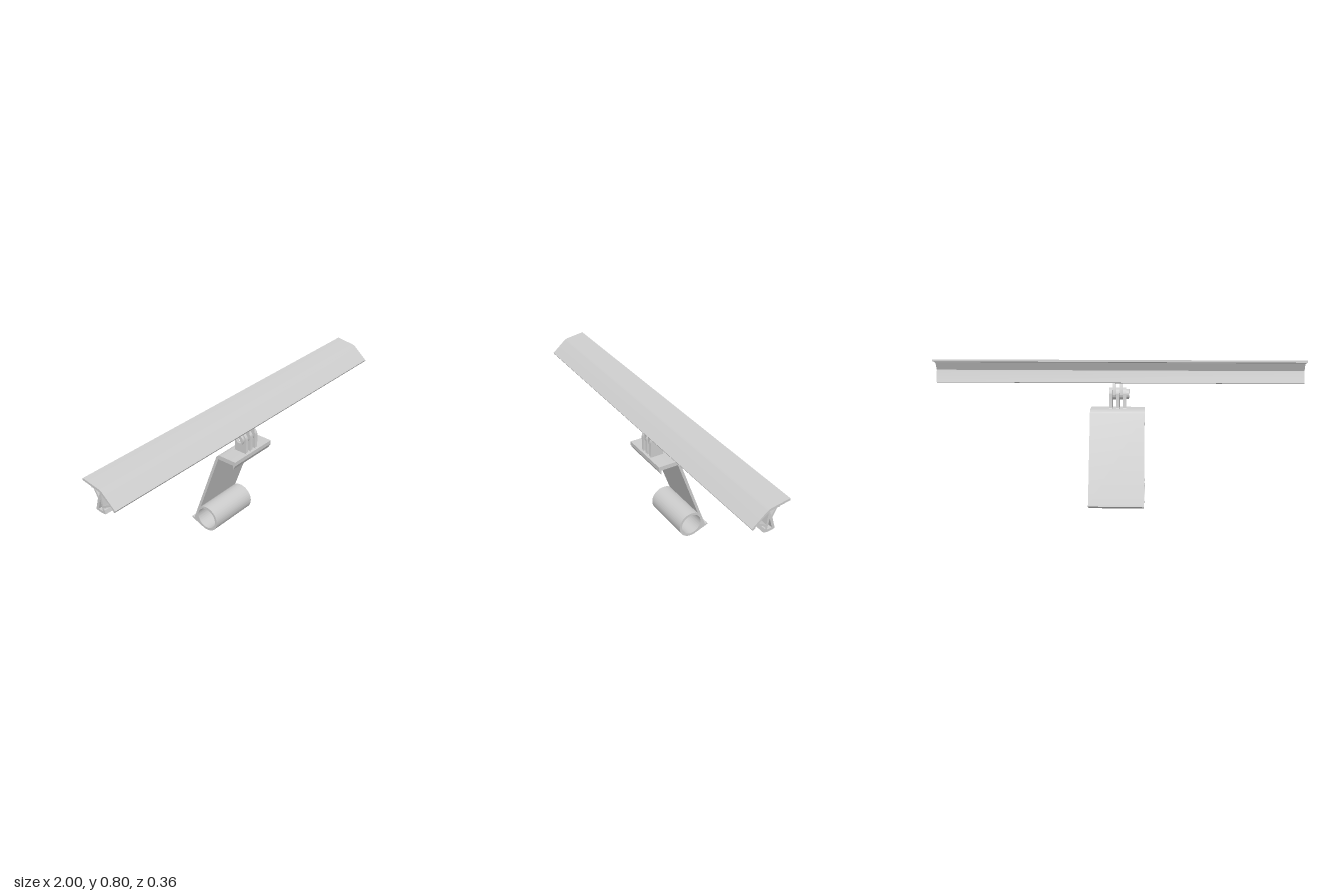
import * as THREE from 'three';
import { toCreasedNormals } from 'three/addons/utils/BufferGeometryUtils.js';

const material = new THREE.MeshStandardMaterial({ color: 0xcccccc });
const MID = 0.006; // x centre of the clip and hinge
const PIN = [0.086, 0.602]; // hinge axis (z, y)
const PIN_R = 0.0137;

const path = (pts) => new THREE.Path(pts.map(([z, y]) => new THREE.Vector2(z, y)));
const circle = (z, y, r) => new THREE.Path().absarc(z, y, r, 0, Math.PI * 2, true);

// Extrudes a (z, y) side profile along x, from x0 to x1
function extrudeX(name, shape, x0, x1) {
  const geo = new THREE.ExtrudeGeometry(shape, { depth: x1 - x0, bevelEnabled: false, curveSegments: 32 });
  geo.rotateY(-Math.PI / 2);
  geo.translate(x1, 0, 0);
  const mesh = new THREE.Mesh(toCreasedNormals(geo, 0.5), material);
  mesh.name = name;
  return mesh;
}

// Long roof-shaped rail with triangular bracing
function railShape() {
  const s = new THREE.Shape();
  s.moveTo(0.181, 0.709);
  s.lineTo(0.106, 0.772);
  s.quadraticCurveTo(0.096, 0.780, 0.082, 0.783);
  [
    [-0.016, 0.798], [-0.017, 0.787], [0.038, 0.778], [0.04, 0.774], [0.051, 0.776], // rear wing
    [0.074, 0.733], [0.071, 0.72], [0.056, 0.668], // rear leg
  ].forEach((p) => s.lineTo(...p));
  s.quadraticCurveTo(0.086, 0.657, 0.117, 0.665);
  [
    [0.111, 0.683], [0.106, 0.684], [0.103, 0.692], // front leg
    [0.154, 0.721], [0.163, 0.713], [0.162, 0.708], [0.174, 0.698], // front brace and lip
  ].forEach((p) => s.lineTo(...p));
  s.closePath();
  s.holes.push(
    path([[0.096, 0.763], [0.147, 0.727], [0.104, 0.703]]),
    path([[0.088, 0.73], [0.099, 0.675], [0.072, 0.675]]),
    path([[0.09, 0.769], [0.061, 0.774], [0.082, 0.743]]),
  );
  return s;
}

// Hooked plate, slanted arm and ring in one profile
function clipShape() {
  const [rz, ry] = [-0.071, 0.076];
  const rad = THREE.MathUtils.degToRad;
  const s = new THREE.Shape();
  s.moveTo(0.135, 0.525);
  s.lineTo(0.034, 0.525);
  s.quadraticCurveTo(0.012, 0.524, 0.004, 0.503);
  s.lineTo(-0.164, 0.041);
  s.lineTo(-0.178, 0.046);
  s.lineTo(-0.181, 0.037);
  s.absarc(rz, ry, 0.075, rad(-111), rad(124), false);
  s.lineTo(0.02, 0.501);
  s.lineTo(0.121, 0.501);
  s.lineTo(0.121, 0.478);
  s.lineTo(0.135, 0.503);
  s.closePath();
  s.holes.push(circle(rz, ry, 0.061));
  return s;
}

// Upright hinge prong with filleted foot
function lowerProngShape() {
  const [z, y] = PIN, r = 0.0365;
  const s = new THREE.Shape();
  s.moveTo(z + r + 0.009, 0.524);
  s.lineTo(z - r - 0.009, 0.524);
  s.quadraticCurveTo(z - r, 0.525, z - r, 0.535);
  s.absarc(z, y, r, Math.PI, 0, true);
  s.lineTo(z + r, 0.535);
  s.quadraticCurveTo(z + r, 0.525, z + r + 0.009, 0.524);
  s.holes.push(circle(z, y, PIN_R));
  return s;
}

// Hanging hinge prong under the rail
function upperProngShape() {
  const [z, y] = PIN, r = 0.0305;
  const s = new THREE.Shape();
  s.moveTo(z - r, 0.667);
  s.absarc(z, y, r, Math.PI, Math.PI * 2, false);
  s.lineTo(z + r, 0.665);
  s.lineTo(z, 0.663);
  s.closePath();
  s.holes.push(circle(z, y, PIN_R));
  return s;
}

// Round boss with a hexagonal nut pocket
function bossShape() {
  const s = new THREE.Shape().absarc(PIN[0], PIN[1], 0.028, 0, Math.PI * 2, false);
  const hex = [0, 1, 2, 3, 4, 5].map((i) => {
    const a = (-i * Math.PI) / 3;
    return [PIN[0] + 0.019 * Math.cos(a), PIN[1] + 0.019 * Math.sin(a)];
  });
  s.holes.push(path(hex));
  return s;
}

export function createModel() {
  const model = new THREE.Group();
  model.name = 'railMount';

  model.add(extrudeX('rail', railShape(), -1, 1));
  model.add(extrudeX('clip', clipShape(), MID - 0.149, MID + 0.149));

  // Interleaved hinge prongs
  const hinge = new THREE.Group();
  hinge.name = 'hinge';
  const half = 0.009;
  for (const x of [-0.0385, 0, 0.0385]) {
    hinge.add(extrudeX('lowerProng', lowerProngShape(), MID + x - half, MID + x + half));
  }
  for (const x of [-0.0193, 0.0193]) {
    hinge.add(extrudeX('upperProng', upperProngShape(), MID + x - half, MID + x + half));
  }
  hinge.add(extrudeX('nutBoss', bossShape(), -0.056, MID - 0.0385 - half));
  model.add(hinge);

  return model;
}
